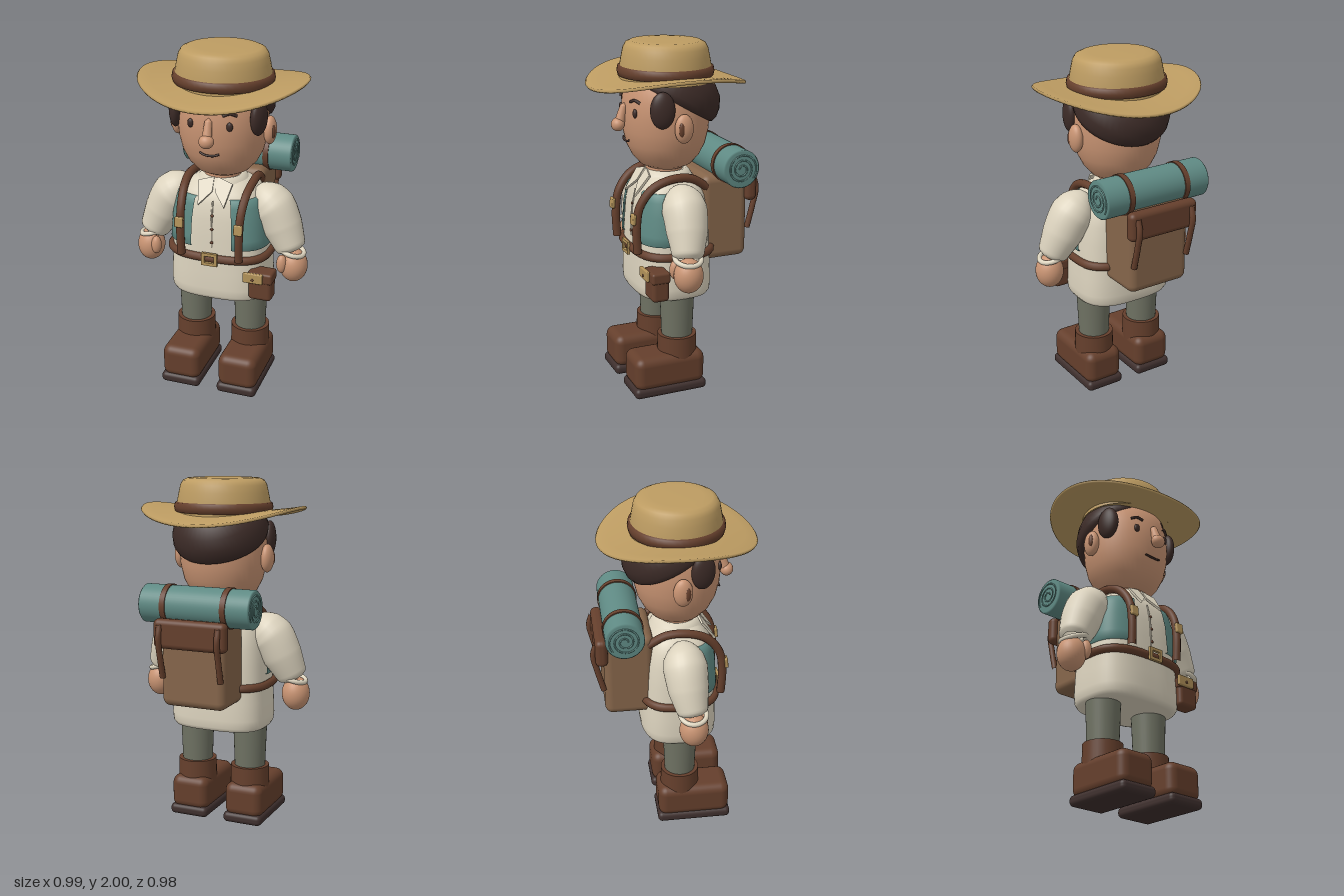
import * as THREE from 'three';
import { mergeVertices } from 'three/addons/utils/BufferGeometryUtils.js';
import { RoundedBoxGeometry } from 'three/addons/geometries/RoundedBoxGeometry.js';

const mat = (name, color, side = THREE.FrontSide) => {
  const m = new THREE.MeshStandardMaterial({ color, side });
  m.name = name;
  return m;
};
const V = (x, y, z) => new THREE.Vector3(x, y, z);
const curve = (pts, closed = false) => new THREE.CatmullRomCurve3(pts.map(p => V(...p)), closed);
const tube = (pts, r, n = 32, closed = false) => new THREE.TubeGeometry(curve(pts, closed), n, r, 10, closed);
const lathe = (pts, seg = 48) => new THREE.LatheGeometry(pts.map(p => new THREE.Vector2(...p)), seg);
const ball = () => new THREE.SphereGeometry(1, 32, 20);

// Weld seams and rebuild smooth normals
function smooth(geo) {
  geo.deleteAttribute('uv');
  geo.deleteAttribute('normal');
  const g = mergeVertices(geo, 1e-5);
  g.computeVertexNormals();
  return g;
}

// Body cross-section: a soft rounded rectangle
const DEPTH = 0.765;
const squareness = a => Math.pow(Math.abs(Math.sin(a)) ** 3 + Math.abs(Math.cos(a)) ** 3, -1 / 3);
function bodyShell(profile, start = 0, length = Math.PI * 2) {
  const g = new THREE.LatheGeometry(profile.map(p => new THREE.Vector2(...p)), 64, start, length);
  const p = g.attributes.position;
  for (let i = 0; i < p.count; i++) {
    const f = squareness(Math.atan2(p.getX(i), p.getZ(i)));
    p.setX(i, p.getX(i) * f);
    p.setZ(i, p.getZ(i) * f * DEPTH);
  }
  return smooth(g);
}

// Tube whose radius follows [t, radius] stops
function taperedTube(pts, stops, n = 32, radial = 28) {
  const c = curve(pts), g = new THREE.TubeGeometry(c, n, 1, radial), p = g.attributes.position, v = V(0, 0, 0);
  for (let i = 0; i <= n; i++) {
    const t = i / n, centre = c.getPointAt(t);
    let k = 1;
    while (k < stops.length - 1 && stops[k][0] < t) k++;
    const [t0, r0] = stops[k - 1], [t1, r1] = stops[k];
    const r = r0 + (r1 - r0) * (t - t0) / (t1 - t0);
    for (let j = 0; j <= radial; j++) {
      const id = i * (radial + 1) + j;
      v.fromBufferAttribute(p, id).sub(centre).multiplyScalar(r).add(centre);
      p.setXYZ(id, v.x, v.y, v.z);
    }
  }
  return smooth(g);
}

export function createModel() {
  const skin = mat('skin', 0xc99473), hair = mat('hair', 0x3c2b27), cream = mat('cream cloth', 0xdcd3be, THREE.DoubleSide);
  const teal = mat('teal cloth', 0x5f8a84, THREE.DoubleSide), leather = mat('leather', 0x653f2c);
  const sole = mat('boot sole', 0x3f302e), straw = mat('straw', 0xbd9c62), canvas = mat('pack canvas', 0x85654a);
  const olive = mat('olive cloth', 0x6f7263), brass = mat('brass', 0xb3935a);

  const model = new THREE.Group();
  model.name = 'traveller';
  const body = new THREE.Group();
  body.name = 'body';
  body.position.set(0.01, 0, 0.04);
  body.rotation.y = -0.297;
  model.add(body);
  const add = (name, geo, material, pos = [0, 0, 0], scale = [1, 1, 1], rot = [0, 0, 0]) => {
    const m = new THREE.Mesh(geo, material);
    m.name = name;
    m.position.set(...pos);
    m.scale.set(...scale);
    m.rotation.set(...rot);
    body.add(m);
    return m;
  };
  const box = (w, h, d, r) => new RoundedBoxGeometry(w, h, d, 4, r);

  // Tunic, neck and belt
  add('tunic', bodyShell([[0, 0.57], [0.25, 0.57], [0.272, 0.575], [0.285, 0.595], [0.29, 0.64], [0.286, 0.74], [0.28, 0.84],
    [0.275, 0.95], [0.265, 1.06], [0.245, 1.15], [0.21, 1.21], [0.16, 1.25], [0.1, 1.27], [0, 1.275]]), cream);
  add('neck', new THREE.CylinderGeometry(0.1, 0.11, 0.14, 32), skin, [0, 1.27, 0.01]);
  add('collarBand', lathe([[0.165, 1.215], [0.14, 1.26], [0.118, 1.285], [0.1, 1.28]]), cream);
  const beltLine = Array.from({ length: 40 }, (_, i) => {
    const a = i / 40 * Math.PI * 2, r = 0.286 * squareness(a);
    return [r * Math.sin(a), 0.835, r * Math.cos(a) * DEPTH];
  });
  add('belt', tube(beltLine, 0.024, 96, true), leather);
  const frame = new THREE.Shape([[-0.046, -0.038], [0.046, -0.038], [0.046, 0.038], [-0.046, 0.038]].map(p => new THREE.Vector2(...p)));
  frame.holes.push(new THREE.Path([[-0.028, -0.02], [-0.028, 0.02], [0.028, 0.02], [0.028, -0.02]].map(p => new THREE.Vector2(...p))));
  add('beltBuckle', new THREE.ExtrudeGeometry(frame, { depth: 0.016, bevelEnabled: false }), brass, [0, 0.838, 0.236]);

  // Shirt placket and buttons
  add('placket', tube([[0, 0.9, 0.211], [0, 1.06, 0.205], [0, 1.17, 0.183]], 0.005), cream);
  for (const [y, z] of [[0.93, 0.215], [1.01, 0.212], [1.09, 0.205]])
    add('button', ball(), leather, [0.004, y, z], [0.009, 0.009, 0.006]);

  // Belt pouch
  add('pouch', box(0.135, 0.17, 0.1, 0.022), leather, [0.286, 0.695, 0.167]);
  add('pouchLid', box(0.145, 0.065, 0.108, 0.015), leather, [0.286, 0.75, 0.167]);
  add('pouchFlap', box(0.115, 0.06, 0.02, 0.006), brass, [0.25, 0.752, 0.226]);
  add('pouchStud', ball(), leather, [0.25, 0.745, 0.236], [0.008, 0.008, 0.006]);

  // Head
  add('head', lathe([[0, 1.28], [0.09, 1.285], [0.15, 1.315], [0.195, 1.365], [0.228, 1.43], [0.247, 1.51], [0.254, 1.6],
    [0.248, 1.69], [0.22, 1.79], [0.15, 1.85], [0, 1.88]]), skin, [0, 0, 0], [1, 1, 0.97]);
  add('hairCap', lathe([[0, 0], [0.245, 0], [0.265, 0.01], [0.275, 0.04], [0.27, 0.09], [0.245, 0.15], [0.19, 0.2], [0.1, 0.225], [0, 0.23]]),
    hair, [0, 1.655, -0.02], [1, 1, 1], [-0.5, 0, 0]);
  add('noseBridge', taperedTube([[0, 1.67, 0.24], [0, 1.61, 0.258], [0, 1.55, 0.275]], [[0, 0], [0.15, 0.02], [1, 0.03]]), skin);
  add('noseTip', ball(), skin, [0, 1.55, 0.282], [0.042, 0.038, 0.037]);
  add('mouth', tube([[-0.055, 1.467, 0.231], [-0.025, 1.458, 0.239], [0.025, 1.458, 0.239], [0.055, 1.467, 0.231]], 0.006), hair);

  // Hat: saddle-shaped brim, band and crown
  const brim = lathe([[0.2, -0.01], [0.3, -0.012], [0.4, -0.011], [0.465, -0.009], [0.472, 0], [0.465, 0.009], [0.4, 0.009], [0.3, 0.01], [0.2, 0.012]], 72);
  const bp = brim.attributes.position;
  for (let i = 0; i < bp.count; i++) {
    const x = bp.getX(i), z = bp.getZ(i);
    bp.setY(i, bp.getY(i) + 0.19 * (x * x - z * z));
  }
  add('hatBrim', smooth(brim), straw, [0, 1.799, 0], [1.005, 1, 0.93]);
  add('hatCrown', lathe([[0.272, 1.78], [0.268, 1.86], [0.256, 1.92], [0.247, 1.96], [0.232, 1.985], [0.205, 1.997], [0.15, 2], [0, 2]]),
    straw, [0, 0, 0], [1, 1, 0.94]);
  add('hatBand', lathe([[0.262, 1.805], [0.278, 1.81], [0.284, 1.835], [0.279, 1.86], [0.262, 1.866]]), leather, [0, 0, 0], [1, 1, 0.94]);

  // Paired parts
  for (const s of [-1, 1]) {
    // Face
    add('eye', ball(), hair, [s * 0.11, 1.625, 0.222], [0.018, 0.025, 0.012]);
    add('eyebrow', tube([[s * 0.075, 1.685, 0.235], [s * 0.11, 1.697, 0.222], [s * 0.145, 1.684, 0.203]], 0.008, 16), hair);
    add('sideHair', ball(), hair, [s * 0.238, 1.657, 0.112], [0.037, 0.1, 0.068], [0, s * -0.25, 0]);
    add('ear', ball(), skin, [s * 0.268, 1.555, 0], [0.036, 0.08, 0.053]);
    add('innerEar', ball(), leather, [s * 0.292, 1.555, 0.022], [0.013, 0.04, 0.017]);

    // Collar points
    const flap = new THREE.Shape([[0.012, 0], [0.1, -0.03], [0.075, -0.17], [0.008, -0.085]].map(([x, y]) => new THREE.Vector2(s * x, y)));
    add('collarPoint', new THREE.ExtrudeGeometry(flap, { depth: 0.012, bevelEnabled: false }), cream, [0, 1.285, 0.112], [1, 1, 1], [-0.62, 0, 0]);

    // Waistcoat panel
    add('waistcoatPanel', bodyShell([[0.265, 0.895], [0.291, 0.897], [0.287, 0.95], [0.278, 1.06], [0.26, 1.14], [0.246, 1.18], [0.22, 1.185]],
      s > 0 ? 0.4 : -1.75, 1.35), teal);

    // Shoulder strap with buckle
    add('shoulderStrap', tube([[s * 0.17, 0.85, 0.237], [s * 0.172, 1, 0.242], [s * 0.175, 1.12, 0.222], [s * 0.183, 1.215, 0.15],
      [s * 0.19, 1.258, 0.04], [s * 0.182, 1.25, -0.08], [s * 0.17, 1.19, -0.18]], 0.024, 48), leather);
    add('strapBuckle', box(0.05, 0.06, 0.02, 0.006), brass, [s * 0.173, 1.05, 0.262], [1, 1, 1], [-0.1, 0, 0]);

    // Sleeve, cuff and hand
    add('sleeve', taperedTube([[s * 0.18, 1.19, 0], [s * 0.23, 1.17, 0.005], [s * 0.3, 1.11, 0.01], [s * 0.36, 1, 0.02], [s * 0.422, 0.87, 0.04]],
      [[0, 0], [0.04, 0.05], [0.13, 0.09], [0.22, 0.113], [0.35, 0.125], [0.65, 0.114], [0.96, 0.086], [1, 0.06]]), cream);
    add('cuff', new THREE.TorusGeometry(0.073, 0.014, 12, 36), cream, [s * 0.42, 0.875, 0.04], [1, 1, 1], [Math.PI / 2, s * -0.3, 0]);
    add('hand', ball(), skin, [s * 0.435, 0.782, 0.042], [0.08, 0.098, 0.082]);
    add('thumb', ball(), skin, [s * 0.38, 0.805, 0.1], [0.03, 0.055, 0.03]);

    // Leg and boot
    add('trouserLeg', new THREE.CylinderGeometry(0.1, 0.088, 0.32, 32), olive, [s * 0.17, 0.45, 0]);
    add('bootCuff', new THREE.CylinderGeometry(0.112, 0.115, 0.145, 32), leather, [s * 0.17, 0.2625, 0]);
    add('boot', box(0.232, 0.2, 0.425, 0.05), leather, [s * 0.172, 0.14, 0.077]);
    add('bootSole', box(0.238, 0.062, 0.438, 0.026), sole, [s * 0.172, 0.031, 0.077]);

    // Pack strap and bedroll tie
    add('packStrap', tube([[s * 0.175, 1.22, -0.47], [s * 0.175, 1.15, -0.488], [s * 0.175, 1.05, -0.468], [s * 0.175, 0.92, -0.435]], 0.017), leather);
    add('bedrollTie', new THREE.CylinderGeometry(0.114, 0.114, 0.032, 40), leather, [s * 0.18, 1.313, -0.32], [1, 1, 1], [0, 0, Math.PI / 2]);

    // Rolled edge on the bedroll end
    const spiral = Array.from({ length: 40 }, (_, i) => {
      const a = i * 0.42, r = 0.015 + 0.0019 * i;
      return [s * 0.33, 1.313 + r * Math.sin(a), -0.32 + r * Math.cos(a)];
    });
    add('bedrollSpiral', new THREE.TubeGeometry(curve(spiral), 120, 0.005, 6), teal);
  }

  // Backpack and bedroll
  add('backpack', box(0.385, 0.5, 0.28, 0.045), canvas, [0, 1.003, -0.29]);
  add('packFlap', box(0.435, 0.165, 0.07, 0.03), leather, [0, 1.17, -0.442]);
  add('bedroll', lathe([[0, -0.33], [0.1, -0.33], [0.108, -0.322], [0.108, 0.322], [0.1, 0.33], [0, 0.33]]), teal,
    [0, 1.313, -0.32], [1, 1, 1], [0, 0, Math.PI / 2]);

  return model;
}
